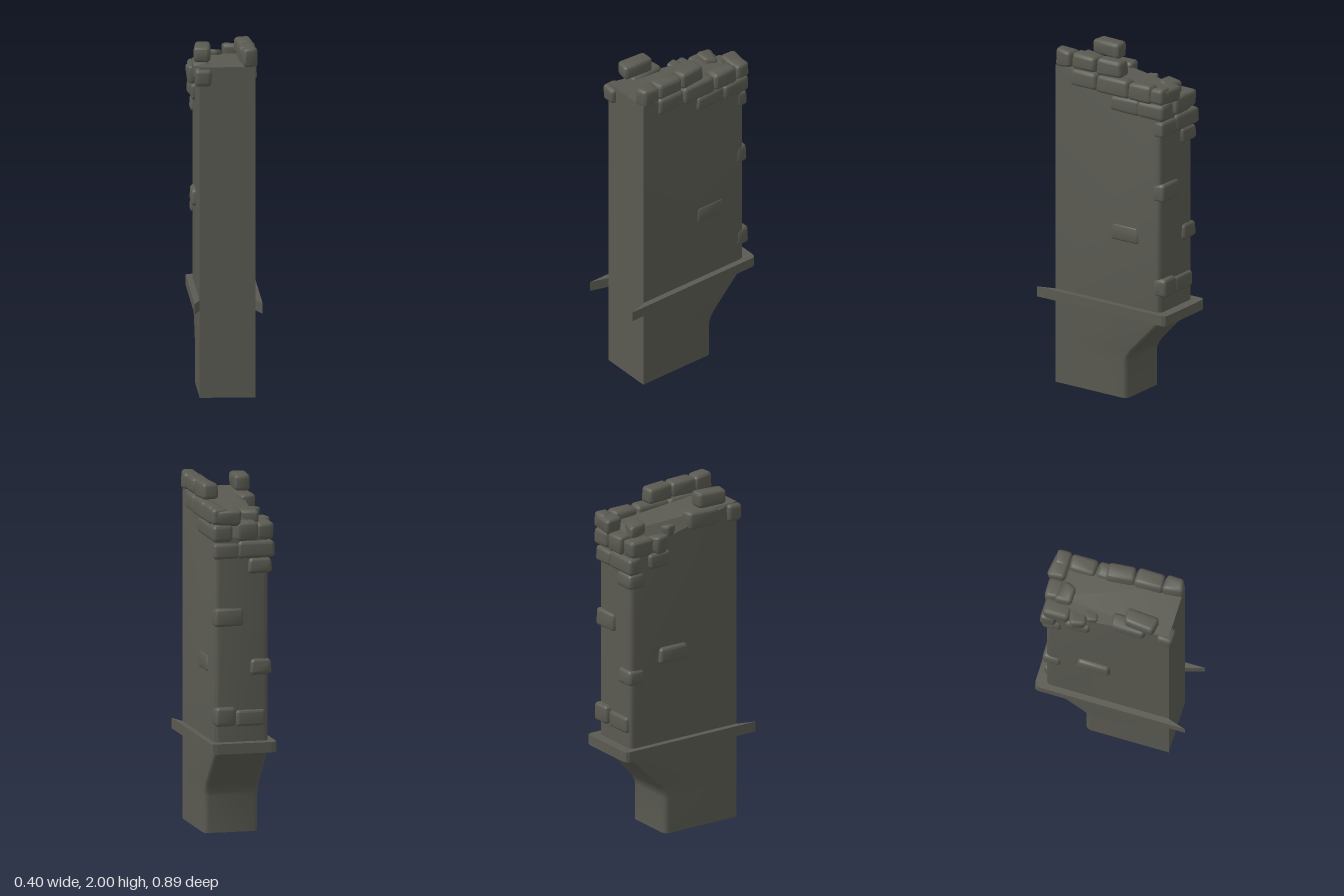
import * as THREE from 'three';
import { toCreasedNormals } from 'three/addons/utils/BufferGeometryUtils.js';
import { RoundedBoxGeometry } from 'three/addons/geometries/RoundedBoxGeometry.js';

const LEFT = 0.165, RIGHT = -0.15, FRONT = 0.337;

// Horizontal section of the shaft: square front, rounded back corners
function section(back, r, height) {
  const pts = [new THREE.Vector3(LEFT, 0, FRONT)];
  for (const [cx, start] of [[LEFT - r, 0], [RIGHT + r, Math.PI / 2]]) {
    for (let i = 0; i <= 4; i++) {
      const a = start + (i / 4) * Math.PI / 2;
      pts.push(new THREE.Vector3(cx + r * Math.cos(a), 0, back + r - r * Math.sin(a)));
    }
  }
  pts.push(new THREE.Vector3(RIGHT, 0, FRONT));
  pts.forEach(p => { p.y = height(p); });
  return pts;
}

// Skin a stack of sections and close both ends
function loft(loops) {
  const n = loops[0].length, index = [];
  const pos = loops.flat().flatMap(p => [p.x, p.y, p.z]);
  for (let l = 0; l < loops.length - 1; l++) {
    for (let i = 0; i < n; i++) {
      const a = l * n + i, b = l * n + (i + 1) % n;
      index.push(a, b, b + n, a, b + n, a + n);
    }
  }
  const top = (loops.length - 1) * n;
  for (let i = 1; i < n - 1; i++) index.push(0, i + 1, i, top, top + i, top + i + 1);
  const g = new THREE.BufferGeometry();
  g.setAttribute('position', new THREE.Float32BufferAttribute(pos, 3));
  g.setIndex(index);
  return toCreasedNormals(g, 0.5);
}

// Rounded block, tapered and skewed a little by its seed
function stoneGeometry(w, h, d, seed, rough) {
  const g = new RoundedBoxGeometry(w, h, d, 3, Math.min(w, h, d) * 0.24);
  const p = g.attributes.position;
  const k = i => Math.sin(seed * 12.9 + i * 4.7) * rough;
  for (let i = 0; i < p.count; i++) {
    const x = p.getX(i) / w, y = p.getY(i) / h, z = p.getZ(i) / d;
    p.setXYZ(i,
      w * x * (1 + k(1) * z + k(2) * y),
      h * y * (1 + k(3) * z + k(4) * x),
      d * z * (1 + k(5) * x + k(6) * y));
  }
  return toCreasedNormals(g, 0.6);
}

// Each stone: x0, x1, y0, y1, z0, z1, optional turn, optional roughness
const leftParapet = [
  [0.09, 0.18, 1.9, 2, 0.225, 0.34, 0.05, 0.25],
  [0.08, 0.176, 1.905, 1.995, 0.06, 0.226],
  [0.075, 0.165, 1.9, 1.995, -0.105, 0.06, 0.1],
  [0.09, 0.18, 1.805, 1.9, 0.05, 0.23],
  [0.09, 0.182, 1.8, 1.9, -0.17, 0.05],
  [0.087, 0.182, 1.8, 1.9, -0.33, -0.172],
  [0.09, 0.185, 1.81, 1.9, -0.415, -0.33],
  [0.09, 0.178, 1.71, 1.8, -0.24, -0.05],
  [0.06, 0.184, 1.71, 1.805, -0.415, -0.24],
];
const rightParapet = [
  [-0.172, -0.08, 1.91, 2, 0.075, 0.258, -0.08],
  [-0.178, -0.09, 1.8, 1.9, 0, 0.2],
  [-0.176, -0.083, 1.79, 1.89, 0.27, 0.362],
  [-0.16, -0.1, 1.79, 1.85, -0.152, -0.09, 0.3, 0.3],
  [-0.19, -0.095, 1.71, 1.81, -0.245, -0.155, 0.25, 0.3],
  [-0.178, -0.08, 1.71, 1.81, -0.4, -0.25],
  [-0.172, -0.09, 1.62, 1.71, -0.27, -0.13],
];
const backParapet = [
  [0.02, 0.155, 1.8, 1.895, -0.425, -0.33, -0.08, 0.25],
  [-0.08, 0.04, 1.71, 1.82, -0.42, -0.33, 0.05],
  [-0.105, 0.008, 1.79, 1.88, -0.34, -0.25, -0.2, 0.35],
  [-0.178, 0.03, 1.61, 1.71, -0.415, -0.33],
  [0.03, 0.17, 1.61, 1.7, -0.412, -0.34],
  [-0.165, -0.03, 1.52, 1.61, -0.408, -0.3],
];
const scattered = [
  [0.1, 0.172, 0.94, 1.035, -0.24, -0.05],
  [-0.176, -0.1, 1.035, 1.13, -0.2, -0.01],
  [-0.165, -0.04, 0.94, 1.03, -0.408, -0.3],
  [0, 0.168, 1.225, 1.325, -0.412, -0.34],
  [0.045, 0.168, 0.655, 0.76, -0.425, -0.34],
  [-0.13, 0.045, 0.65, 0.74, -0.41, -0.34],
];

export function createModel() {
  const model = new THREE.Group();
  const masonry = new THREE.MeshStandardMaterial({ color: 0x5a5a52 });
  masonry.name = 'darkMasonry';
  const add = (name, geometry, parent = model) => {
    const mesh = new THREE.Mesh(geometry, masonry);
    mesh.name = name;
    parent.add(mesh);
    return mesh;
  };

  // Shaft: narrow foot, flared back, tall wall and a sunken rim at the top
  const levels = [[0, -0.155], [0.21, -0.155], [0.235, -0.16], [0.26, -0.172], [0.285, -0.19], [0.5, -0.39]];
  const loops = levels.map(([y, back]) => section(back, 0.03, () => y));
  const rim = section(-0.39, 0.03, p => p.z > 0.3 ? 1.9 : 1.73);
  const edge = rim.map(p => p.z > 0.3 ? p.clone()
    : new THREE.Vector3(p.x > 0 ? p.x - 0.02 : p.x + 0.07, 1.85, p.z + 0.07));
  loops.push(rim, edge);
  add('shaft', loft(loops));

  // Ledge wrapping the sides and back, with pointed front ends
  const outline = new THREE.Shape([
    [LEFT, -0.33], [0.2, -0.443], [0.2, 0.425], [0.19, 0.443], [0.165, 0.448],
    [-0.15, 0.448], [-0.175, 0.443], [-0.185, 0.425], [-0.185, -0.443], [RIGHT, -0.33],
  ].map(([x, y]) => new THREE.Vector2(x, y)));
  const ledge = new THREE.ExtrudeGeometry(outline, { depth: 0.06, bevelEnabled: false });
  ledge.rotateX(-Math.PI / 2);
  add('ledge', ledge).position.y = 0.5;

  // Broken parapet and stones showing through the wall
  let seed = 1;
  const groups = { leftParapet, rightParapet, backParapet, scatteredStones: scattered };
  for (const [name, stones] of Object.entries(groups)) {
    const group = new THREE.Group();
    group.name = name;
    model.add(group);
    for (const [x0, x1, y0, y1, z0, z1, turn = 0, rough = 0.1] of stones) {
      const stone = add('stone', stoneGeometry(x1 - x0, y1 - y0, z1 - z0, seed++, rough), group);
      stone.position.set((x0 + x1) / 2, (y0 + y1) / 2, (z0 + z1) / 2);
      stone.rotation.y = turn;
    }
  }
  return model;
}
